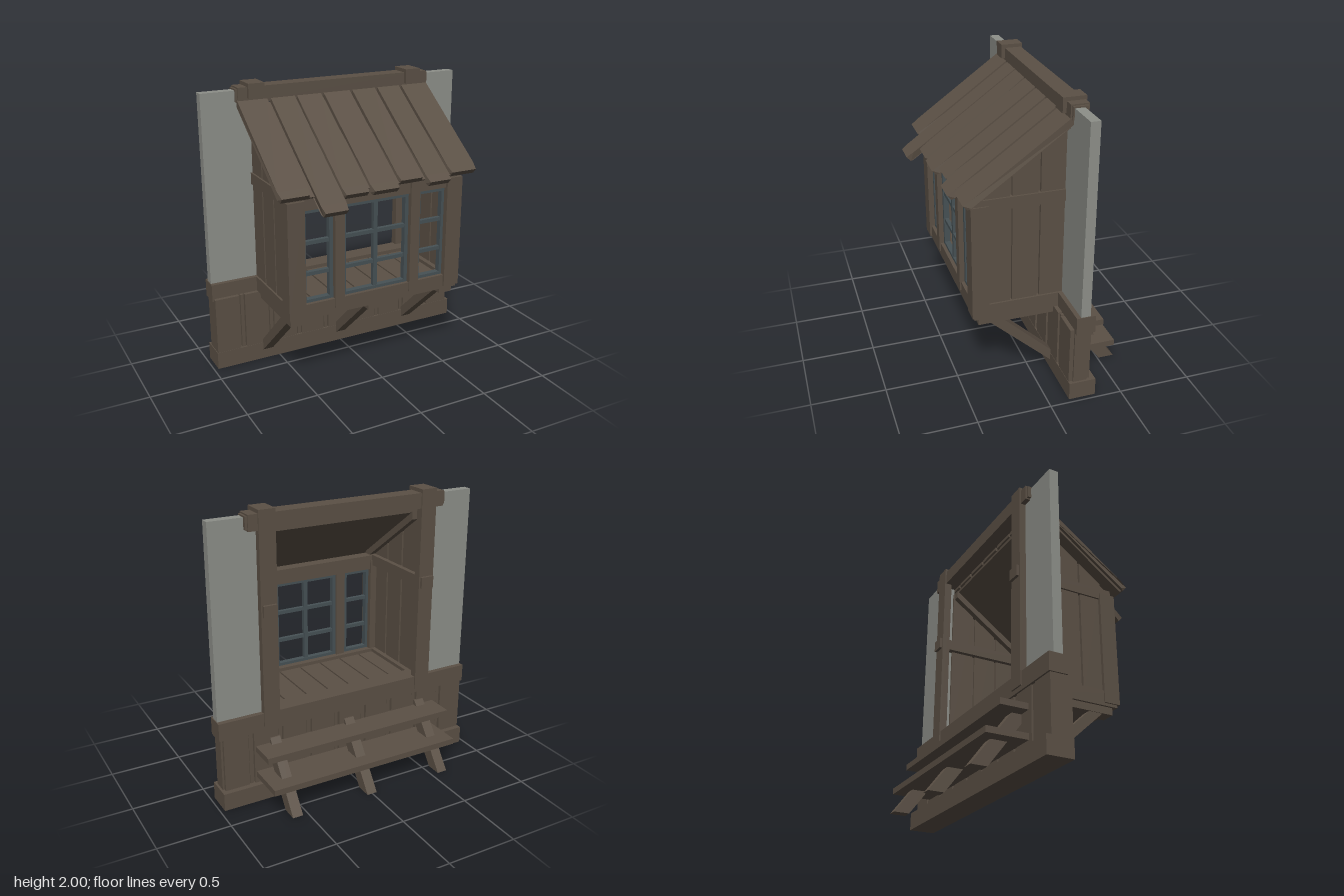
import * as THREE from 'three';

export function createModel() {
  const root = new THREE.Group();
  const mat = (name, color) => {
    const m = new THREE.MeshStandardMaterial({ color });
    m.name = name;
    return m;
  };
  const wood = mat('brown wood', 0x5b5045);
  const plaster = mat('grey plaster', 0x8d8f89);
  const frame = mat('blue grey window frame', 0x465155);

  const add = (name, geo, m = wood) => {
    const mesh = new THREE.Mesh(geo, m);
    mesh.name = name;
    root.add(mesh);
    return mesh;
  };
  // box given by its limits on each axis
  const box = (name, x0, x1, y0, y1, z0, z1, m = wood) => {
    const g = new THREE.BoxGeometry(x1 - x0, y1 - y0, z1 - z0);
    g.translate((x0 + x1) / 2, (y0 + y1) / 2, (z0 + z1) / 2);
    return add(name, g, m);
  };
  const pair = (name, x0, x1, y0, y1, z0, z1, m = wood) => {
    box(name, x0, x1, y0, y1, z0, z1, m);
    box(name, -x1, -x0, y0, y1, z0, z1, m);
  };
  // side profile of [z, y] points carried from x0 to x1
  const prism = (name, pts, x0, x1) => {
    const shape = new THREE.Shape(pts.map(p => new THREE.Vector2(p[0], p[1])));
    const g = new THREE.ExtrudeGeometry(shape, { depth: x1 - x0, bevelEnabled: false });
    g.rotateY(-Math.PI / 2);
    g.translate(x1, 0, 0);
    return add(name, g);
  };
  const prismPair = (name, pts, x0, x1) => {
    prism(name, pts, x0, x1);
    prism(name, pts, -x1, -x0);
  };

  // lower wall: beams, backing and vertical planks
  box('bottomBeam', -0.97, 0.97, 0, 0.125, -0.325, -0.14);
  box('railBeam', -0.975, 0.975, 0.51, 0.635, -0.3, -0.17);
  box('lowerBacking', -0.955, 0.955, 0.1, 0.53, -0.265, -0.17);
  for (let i = 0; i < 9; i++) {
    const x = -0.965 + i * 0.2165;
    box('lowerPlank', x, x + 0.175, 0.1, 0.53, -0.288, -0.142);
    if (i < 8) box('lowerBatten', x + 0.186, x + 0.21, 0.1, 0.53, -0.28, -0.15);
  }

  // upper wall panels beside the opening
  pair('wallPanel', 0.6, 0.97, 0.62, 1.955, -0.265, -0.2, plaster);

  // back posts, post heads and ridge beam
  pair('backPost', 0.54, 0.655, 0.54, 2, -0.31, -0.255);
  pair('postHead', 0.54, 0.655, 1.9, 2, -0.31, -0.155);
  box('ridgeBeam', -0.72, 0.72, 1.87, 1.975, -0.3, -0.18);
  pair('ridgeEnd', 0.66, 0.735, 1.88, 1.965, -0.29, -0.19);

  // bay floor and its supports
  pair('floorJoist', 0.53, 0.63, 0.48, 0.54, -0.16, 0.38);
  box('floorJoist', -0.05, 0.05, 0.48, 0.54, -0.16, 0.38);
  box('floorBase', -0.6, 0.6, 0.53, 0.585, -0.2, 0.34);
  for (let i = 0; i < 7; i++) {
    const x = -0.595 + i * 0.17;
    box('floorPlank', x, x + 0.158, 0.56, 0.61, -0.24, 0.34);
  }
  const brace = [[0.31, 0.485], [0.21, 0.485], [-0.15, 0.145], [-0.15, 0.06]];
  for (const x of [-0.588, 0.002, 0.573]) prism('diagonalBrace', brace, x - 0.037, x + 0.037);

  // bay frame
  pair('sideSill', 0.55, 0.645, 0.53, 0.635, -0.18, 0.4);
  box('frontSill', -0.645, 0.645, 0.53, 0.635, 0.3, 0.41);
  pair('cornerPost', 0.535, 0.655, 0.55, 1.35, 0.31, 0.425);
  pair('innerPost', 0.25, 0.32, 0.57, 1.36, 0.33, 0.42);
  box('frontHeader', -0.64, 0.64, 1.28, 1.385, 0.32, 0.405);
  pair('sideRail', 0.55, 0.645, 1.31, 1.39, -0.33, 0.4);

  // roof slope, as the height of its top face at depth z
  const roofY = z => 1.895 - 0.715 * (z + 0.19);

  // side planks rising to the roof
  const plank = (z0, z1) => [[z0, 0.6], [z1, 0.6], [z1, roofY(z1) - 0.09], [z0, roofY(z0) - 0.09]];
  for (const [z0, z1] of [[0.165, 0.33], [-0.02, 0.15], [-0.21, -0.038]])
    prismPair('sidePlank', plank(z0, z1), 0.585, 0.632);
  prismPair('sideBacking', plank(-0.2, 0.32), 0.6, 0.612);

  // windows: outer frame with crossbars
  const windowFrame = (x0, x1, mullion) => {
    const y0 = 0.63, y1 = 1.28, t = 0.026, z0 = 0.345, z1 = 0.385;
    box('windowStile', x0, x0 + t, y0, y1, z0, z1, frame);
    box('windowStile', x1 - t, x1, y0, y1, z0, z1, frame);
    box('windowRail', x0, x1, y0, y0 + t, z0, z1, frame);
    box('windowRail', x0, x1, y1 - t, y1, z0, z1, frame);
    for (const y of [0.835, 1.05]) box('windowBar', x0, x1, y - 0.013, y + 0.013, z0 + 0.006, z1 - 0.006, frame);
    if (mullion) box('windowMullion', -0.015, 0.015, y0, y1, z0 + 0.004, z1 - 0.004, frame);
  };
  windowFrame(-0.25, 0.25, true);
  windowFrame(0.32, 0.54, false);
  windowFrame(-0.54, -0.32, false);

  // roof: rafters, underlay and seven boards of uneven length
  const slab = (z0, z1, top, bottom) => [
    [z0, roofY(z0) - top], [z0, roofY(z0) - bottom],
    [z1 - 0.03, roofY(z1 - 0.03) - bottom], [z1, roofY(z1) - top]];
  prismPair('rafter', slab(-0.2, 0.4, 0.07, 0.13), 0.54, 0.61);
  prism('roofUnderlay', slab(-0.19, 0.47, 0.035, 0.075), -0.705, 0.705);
  const boards = [
    [-0.725, -0.515, 0.49], [-0.49, -0.315, 0.615], [-0.3, -0.12, 0.525], [-0.1, 0.1, 0.53],
    [0.12, 0.3, 0.49], [0.32, 0.495, 0.53], [0.515, 0.725, 0.49]];
  for (const [x0, x1, end] of boards) {
    const k = end - 0.05;
    const pts = [
      [-0.2, roofY(-0.2)], [-0.2, roofY(-0.2) - 0.055], [k, roofY(k) - 0.055],
      [end - 0.03, roofY(end - 0.03) - 0.055], [end, roofY(end)], [k, roofY(k)]];
    const g = prism('roofBoard', pts, x0, x1).geometry;
    const p = g.attributes.position, c = (x0 + x1) / 2;
    // narrow the lower tip of each board
    for (let i = 0; i < p.count; i++)
      if (p.getZ(i) > k + 0.01) p.setX(i, c + (p.getX(i) - c) * 0.9);
    g.computeVertexNormals();
  }

  // back steps on sloping stringers
  box('upperStep', -0.715, 0.715, 0.36, 0.402, -0.48, -0.285);
  box('lowerStep', -0.715, 0.715, 0.17, 0.212, -0.57, -0.285);
  const stringer = [[-0.28, 0.31], [-0.51, 0], [-0.62, 0], [-0.295, 0.44], [-0.28, 0.44]];
  for (const x of [-0.59, 0.002, 0.575]) prism('stepStringer', stringer, x - 0.037, x + 0.037);

  return root;
}
